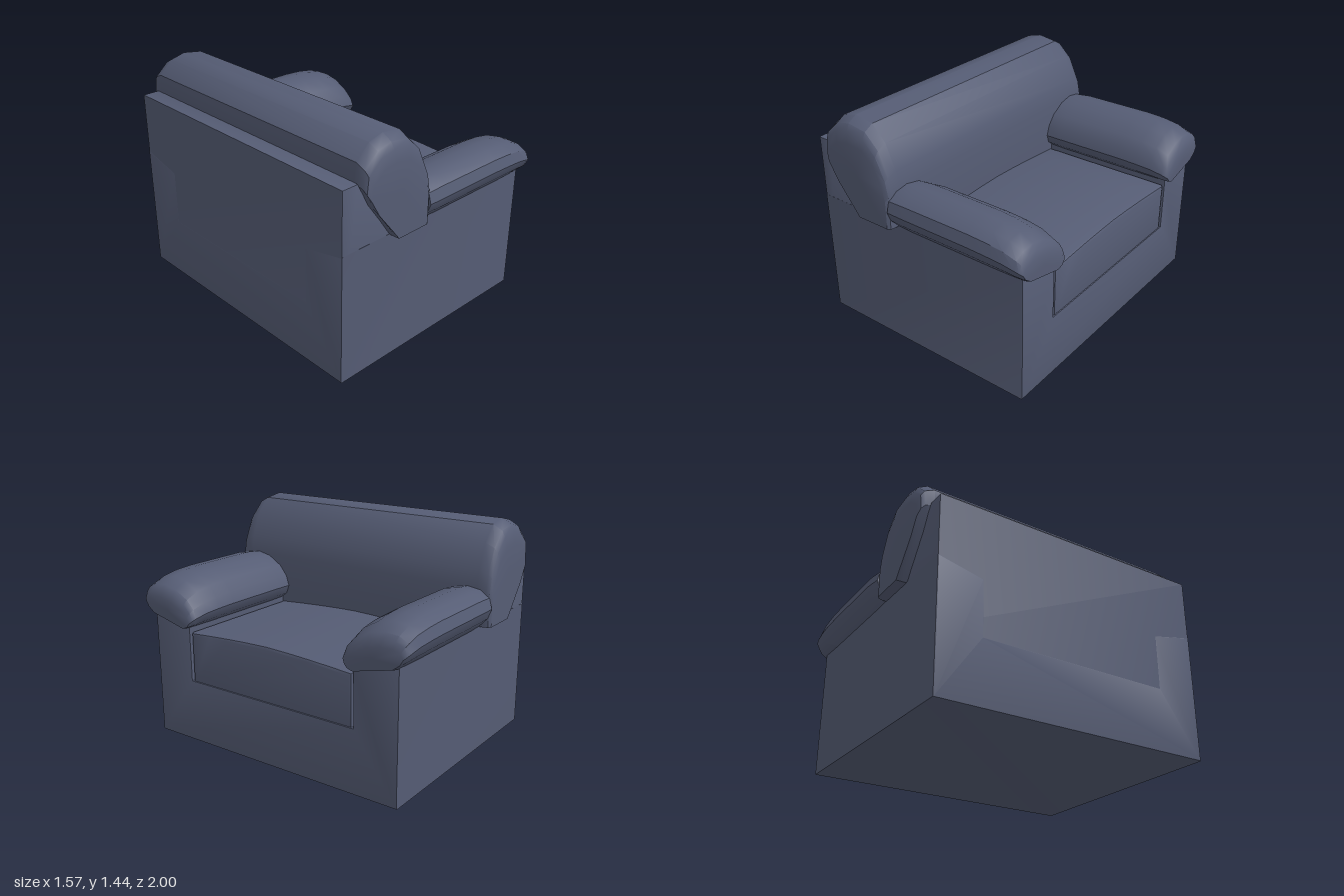
import * as THREE from 'three';
import { toCreasedNormals } from 'three/addons/utils/BufferGeometryUtils.js';

const material = new THREE.MeshStandardMaterial({ color: 0x555c74 });

function addPart(group, name, geometry, crease = 0.6) {
  const mesh = new THREE.Mesh(toCreasedNormals(geometry, crease), material);
  mesh.name = name;
  group.add(mesh);
  return mesh;
}

// Skin a series of equal-length rings of [x, y, z] and close both ends with fans.
function loft(rings) {
  const n = rings[0].length;
  const positions = rings.flat(2);
  const index = [];
  for (let i = 0; i < rings.length - 1; i++) {
    for (let j = 0; j < n; j++) {
      const k = (j + 1) % n;
      const a = i * n + j, b = i * n + k;
      index.push(a, b, b + n, a, b + n, a + n);
    }
  }
  for (const last of [false, true]) {
    const ring = last ? rings[rings.length - 1] : rings[0];
    const start = last ? (rings.length - 1) * n : 0;
    const centre = positions.length / 3;
    for (let c = 0; c < 3; c++) positions.push(ring.reduce((s, p) => s + p[c], 0) / n);
    for (let j = 0; j < n; j++) {
      const a = start + j, b = start + (j + 1) % n;
      if (last) index.push(centre, a, b);
      else index.push(centre, b, a);
    }
  }
  const geometry = new THREE.BufferGeometry();
  geometry.setAttribute('position', new THREE.Float32BufferAttribute(positions, 3));
  geometry.setIndex(index);
  return geometry;
}

// Extrude an outline between two depths, with the bevel kept inside the given size.
function slab(points, from, to, bevel) {
  const shape = new THREE.Shape(points.map(([x, y]) => new THREE.Vector2(x, y)));
  const geometry = new THREE.ExtrudeGeometry(shape, {
    depth: to - from - 2 * bevel, bevelSize: bevel, bevelOffset: -bevel,
    bevelThickness: bevel, bevelSegments: 2,
  });
  return geometry.translate(0, 0, from + bevel);
}

// Rolled armrest: a tilted oval section that rounds down at the front.
function armrest(side) {
  const section = [
    [1.0, 0.95], [0.98, 1.02], [0.92, 1.065], [0.83, 1.08], [0.73, 1.06], [0.63, 1.0],
    [0.575, 0.93], [0.553, 0.86], [0.575, 0.8], [0.62, 0.765], [0.92, 0.825], [0.975, 0.885],
  ];
  // x position, width factor, height factor above the sloping underside
  const stations = [
    [0.785, 0.84, 0.48], [0.77, 0.92, 0.64], [0.745, 0.96, 0.75], [0.66, 0.985, 0.9],
    [0.55, 1, 0.97], [0.42, 1, 1], [-0.05, 1, 1], [-0.17, 0.96, 0.95],
  ];
  const rings = stations.map(([x, sz, sy]) => section.map(([z, y]) => {
    const base = 0.765 + (z - 0.62) * 0.2;
    return [x, base + (y - base) * sy, side * (0.777 + (z - 0.777) * sz)];
  }));
  return loft(side > 0 ? rings : rings.reverse());
}

// Back cushion: a wide roll with bevelled ends.
function backCushion() {
  const profile = [
    [-0.42, 0.825], [-0.16, 0.825], [-0.16, 1.06], [-0.18, 1.17], [-0.245, 1.325], [-0.34, 1.42],
    [-0.47, 1.44], [-0.57, 1.415], [-0.66, 1.33], [-0.672, 1.22], [-0.6, 1.08],
  ];
  const ends = [[0.89, 1, 1], [0.95, 0.99, 0.945], [0.972, 0.96, 0.88], [0.985, 0.88, 0.77]];
  const stations = [
    ...ends.slice().reverse().map(([z, sx, sy]) => [-z, sx, sy]),
    ...ends,
  ];
  return loft(stations.map(([z, sx, sy]) => profile.map(([x, y]) =>
    [-0.38 + (x + 0.38) * sx, 0.825 + (y - 0.825) * sy, z])));
}

export function createModel() {
  const chair = new THREE.Group();
  chair.name = 'armchair';

  // Base with both side panels, notched for the seat
  const frame = slab([
    [-0.92, 0], [0.92, 0], [0.92, 0.83], [0.625, 0.765], [0.625, 0.41],
    [-0.625, 0.41], [-0.625, 0.765], [-0.92, 0.83],
  ], -0.785, 0.747, 0.008).rotateY(Math.PI / 2);
  addPart(chair, 'frame', frame);

  // Raised back panel with its sloping support
  addPart(chair, 'backPanel', slab([
    [-0.784, 0.4], [-0.44, 0.4], [-0.42, 0.83], [-0.675, 1.222], [-0.784, 1.222],
  ], -0.919, 0.919, 0.008));

  // Seat cushion with a gently crowned top
  const crown = [];
  for (let i = 0; i <= 8; i++) {
    const t = 1 - i / 4;
    crown.push([0.612 * t, 0.765 - 0.032 * Math.abs(t) ** 1.5]);
  }
  addPart(chair, 'seatCushion',
    slab([[-0.612, 0.405], [0.612, 0.405], ...crown], -0.4, 0.745, 0.018).rotateY(Math.PI / 2));

  // Back cushion and its lower part between the arms
  addPart(chair, 'backCushion', backCushion());
  const lower = addPart(chair, 'backCushionLower', new THREE.BoxGeometry(0.28, 0.5, 1.24));
  lower.position.set(-0.301, 0.66, 0);

  addPart(chair, 'leftArmrest', armrest(1));
  addPart(chair, 'rightArmrest', armrest(-1));
  return chair;
}
